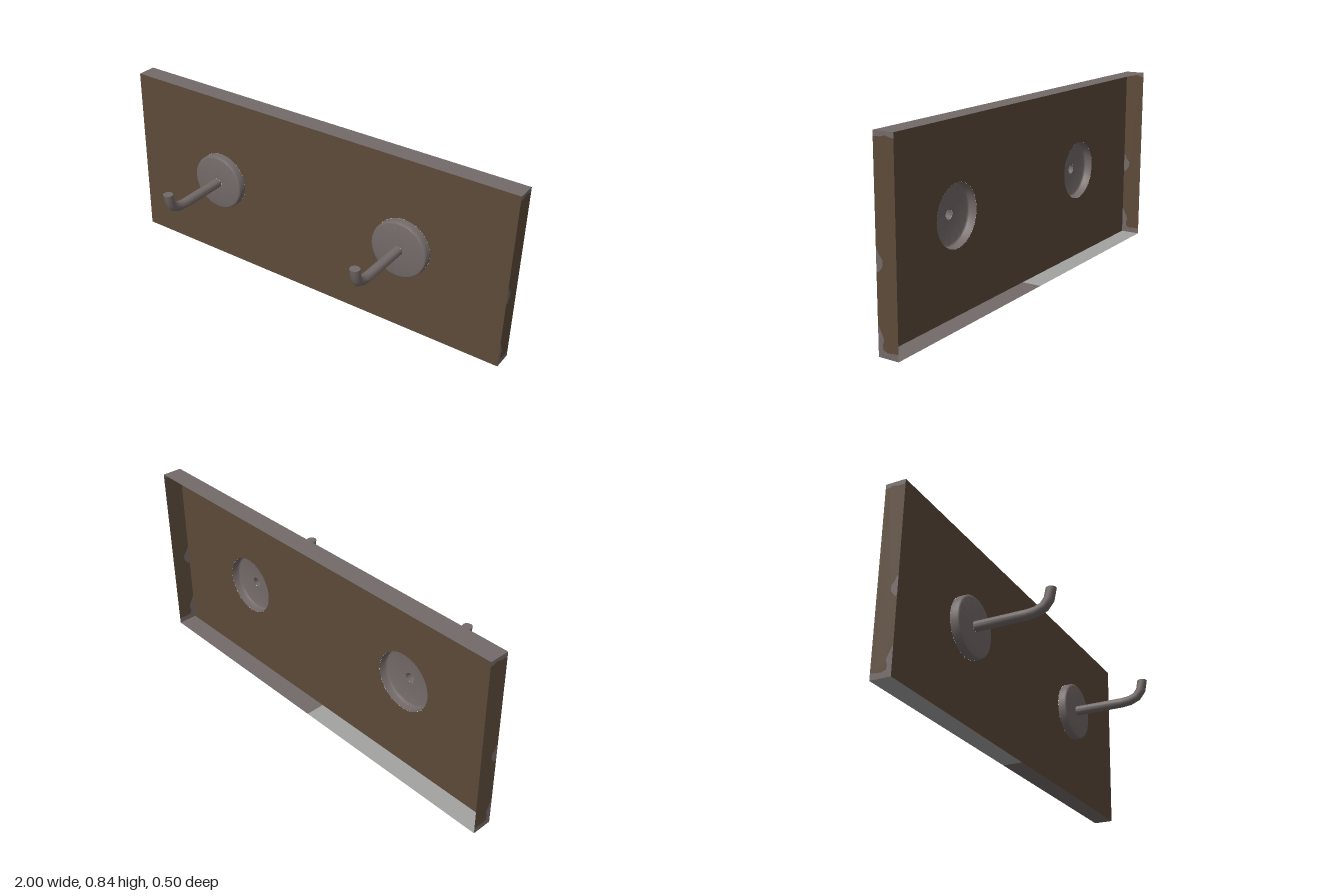
import * as THREE from 'three';
import { toCreasedNormals } from 'three/addons/utils/BufferGeometryUtils.js';

const W = 2, H = 0.842, FRONT = -0.156, BACK = -0.248;
const HOOK_X = 0.5, HOOK_Y = 0.421, DISC_R = 0.136, ROD_R = 0.0228, DISC_FRONT = -0.116;

function material(name, color) {
  const m = new THREE.MeshStandardMaterial({ color, side: THREE.DoubleSide });
  m.name = name;
  return m;
}

function add(parent, name, geometry, mat) {
  const mesh = new THREE.Mesh(geometry, mat);
  mesh.name = name;
  parent.add(mesh);
  return mesh;
}

const polygon = (pts) => new THREE.Shape(pts.map(([a, b]) => new THREE.Vector2(a, b)));

// Round rod that runs forward and bends upward, swept from [z, y, tilt] stations
function rodGeometry() {
  const path = [
    [DISC_FRONT, 0.0, 0], [0.12, 0.0, 0.03], [0.16, 0.004, 0.25],
    [0.196, 0.018, 0.72], [0.218, 0.047, 1.2], [0.227, 0.095, Math.PI / 2],
  ];
  const n = path.length - 1;
  const geo = new THREE.CylinderGeometry(ROD_R, ROD_R, n, 16, n, true);
  const pos = geo.attributes.position;
  for (let i = 0; i < pos.count; i++) {
    const [z, y, tilt] = path[Math.round(pos.getY(i) + n / 2)];
    const side = pos.getZ(i);
    pos.setXYZ(i, pos.getX(i), y - side * Math.cos(tilt), z + side * Math.sin(tilt));
  }
  return toCreasedNormals(geo, 0.7);
}

// Hollow mounting disc with a softened front edge, open at the back
function discGeometry() {
  const b = 0.01;
  const profile = [[DISC_R, FRONT], [DISC_R, DISC_FRONT - b]];
  for (let i = 1; i <= 3; i++) {
    const a = (i / 3) * Math.PI / 2;
    profile.push([DISC_R - b + b * Math.cos(a), DISC_FRONT - b + b * Math.sin(a)]);
  }
  profile.push([ROD_R, DISC_FRONT]);
  const geo = new THREE.LatheGeometry(profile.map(([r, y]) => new THREE.Vector2(r, y)), 32);
  return toCreasedNormals(geo.rotateX(Math.PI / 2), 0.7);
}

export function createModel() {
  const brown = material('brown wood', 0x5c4a39);
  const grey = material('worn grey', 0x736a68);
  const pale = material('pale grey', 0xa2a2a0);

  const model = new THREE.Group();
  model.name = 'wallHookRack';

  // Board front with openings behind the discs
  const front = polygon([[-W / 2, 0], [W / 2, 0], [W / 2, H], [-W / 2, H]]);
  for (const s of [-1, 1]) {
    front.holes.push(new THREE.Path().absarc(s * HOOK_X, HOOK_Y, DISC_R, 0, Math.PI * 2, true));
  }
  const board = new THREE.Group();
  board.name = 'board';
  model.add(board);
  add(board, 'frontPanel', new THREE.ShapeGeometry(front, 32), brown).position.z = FRONT;

  // Top and bottom rims
  const depth = FRONT - BACK, midZ = (FRONT + BACK) / 2;
  const rim = (name, width, x, y, turn, mat) =>
    add(board, name, new THREE.PlaneGeometry(width, depth).rotateX(turn), mat).position.set(x, y, midZ);
  rim('topRim', W, 0, H, -Math.PI / 2, grey);
  rim('bottomRimLeft', W / 2, W / 4, 0, Math.PI / 2, grey);
  rim('bottomRimRight', W / 2, -W / 4, 0, Math.PI / 2, pale);

  // End rims, brown with worn patches, outlined in (z, y)
  const lowEdge = [[BACK, 0.028], [-0.23, 0.027], [-0.2, 0.024], [-0.18, 0.03],
    [-0.176, 0.05], [-0.183, 0.065], [-0.18, 0.08], [-0.165, 0.11], [FRONT, 0.127]];
  const midEdge = [[FRONT, 0.328], [-0.165, 0.325], [-0.175, 0.337], [-0.185, 0.352],
    [-0.185, 0.375], [-0.17, 0.392], [-0.165, 0.405], [FRONT, 0.416]];
  const topEdge = [[FRONT, 0.82], [-0.19, 0.822], [-0.21, 0.828], [-0.23, 0.822], [BACK, 0.82]];
  const pieces = [
    ['endRim', [...lowEdge, ...midEdge, ...topEdge], brown],
    ['endRimLowWear', [[FRONT, 0], ...[...lowEdge].reverse(), [BACK, 0]], grey],
    ['endRimMidWear', midEdge, grey],
    ['endRimTopWear', [...topEdge, [BACK, H], [FRONT, H]], grey],
  ];
  for (const s of [-1, 1]) {
    for (const [name, pts, mat] of pieces) {
      const geo = new THREE.ShapeGeometry(polygon(pts)).rotateY(-Math.PI / 2);
      // The shape faces -x; turn its faces outward on the +x end
      if (s > 0) {
        geo.index.array.reverse();
        geo.attributes.normal.array.forEach((v, i, a) => { a[i] = -v; });
      }
      add(board, name, geo, mat).position.x = s * W / 2;
    }
  }

  // Two hooks
  const disc = discGeometry(), rod = rodGeometry();
  const tip = new THREE.CircleGeometry(ROD_R, 16).rotateX(-Math.PI / 2).translate(0, 0.095, 0.227);
  for (const s of [-1, 1]) {
    const hook = new THREE.Group();
    hook.name = s > 0 ? 'leftHook' : 'rightHook';
    hook.position.set(s * HOOK_X, HOOK_Y, 0);
    add(hook, 'mountingDisc', disc, grey);
    add(hook, 'hookRod', rod, grey);
    add(hook, 'hookTip', tip, grey);
    model.add(hook);
  }
  return model;
}
